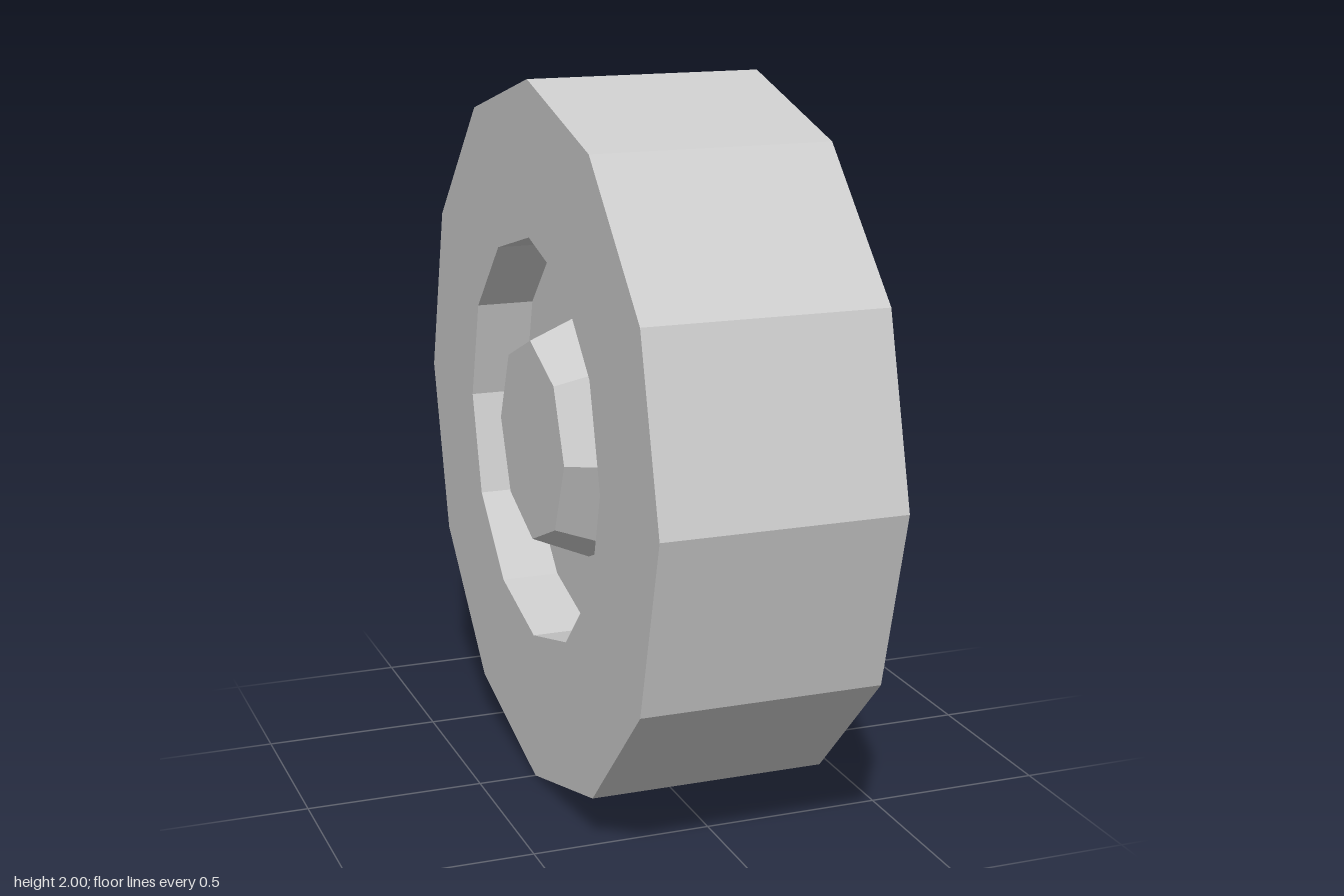
import * as THREE from 'three';

const HALF_WIDTH = 1 / 3;   // half the tyre width
const FLOOR = 1 / 6;        // distance of each recess floor from the middle
const RIM_RADIUS = 0.572;

export function createModel() {
  const model = new THREE.Group();
  model.name = 'wheel';
  const material = new THREE.MeshStandardMaterial({ color: 0xcccccc, flatShading: true });

  const add = (name, geometry) => {
    const mesh = new THREE.Mesh(geometry, material);
    mesh.name = name;
    mesh.position.y = 1;
    model.add(mesh);
  };

  // Twelve-sided tyre, with the walls of the recess on both sides
  const profile = [
    [RIM_RADIUS, -FLOOR], [RIM_RADIUS, -HALF_WIDTH], [1, -HALF_WIDTH],
    [1, HALF_WIDTH], [RIM_RADIUS, HALF_WIDTH], [RIM_RADIUS, FLOOR],
  ].map(([r, h]) => new THREE.Vector2(r, h));
  add('tyre', new THREE.LatheGeometry(profile, 12).rotateZ(-Math.PI / 2));

  for (const [label, side] of [['left', 1], ['right', -1]]) {
    // Recess floor
    const disc = new THREE.CircleGeometry(RIM_RADIUS, 12);
    disc.rotateY(side * Math.PI / 2).translate(side * FLOOR, 0, 0);
    add(label + 'RimDisc', disc);

    // Eight-sided tapered hub, flush with the tyre wall
    const depth = HALF_WIDTH - FLOOR;
    const hub = new THREE.CylinderGeometry(0.285, 0.356, depth, 8);
    hub.rotateZ(-side * Math.PI / 2).translate(side * (FLOOR + depth / 2), 0, 0);
    add(label + 'Hub', hub);
  }
  return model;
}
